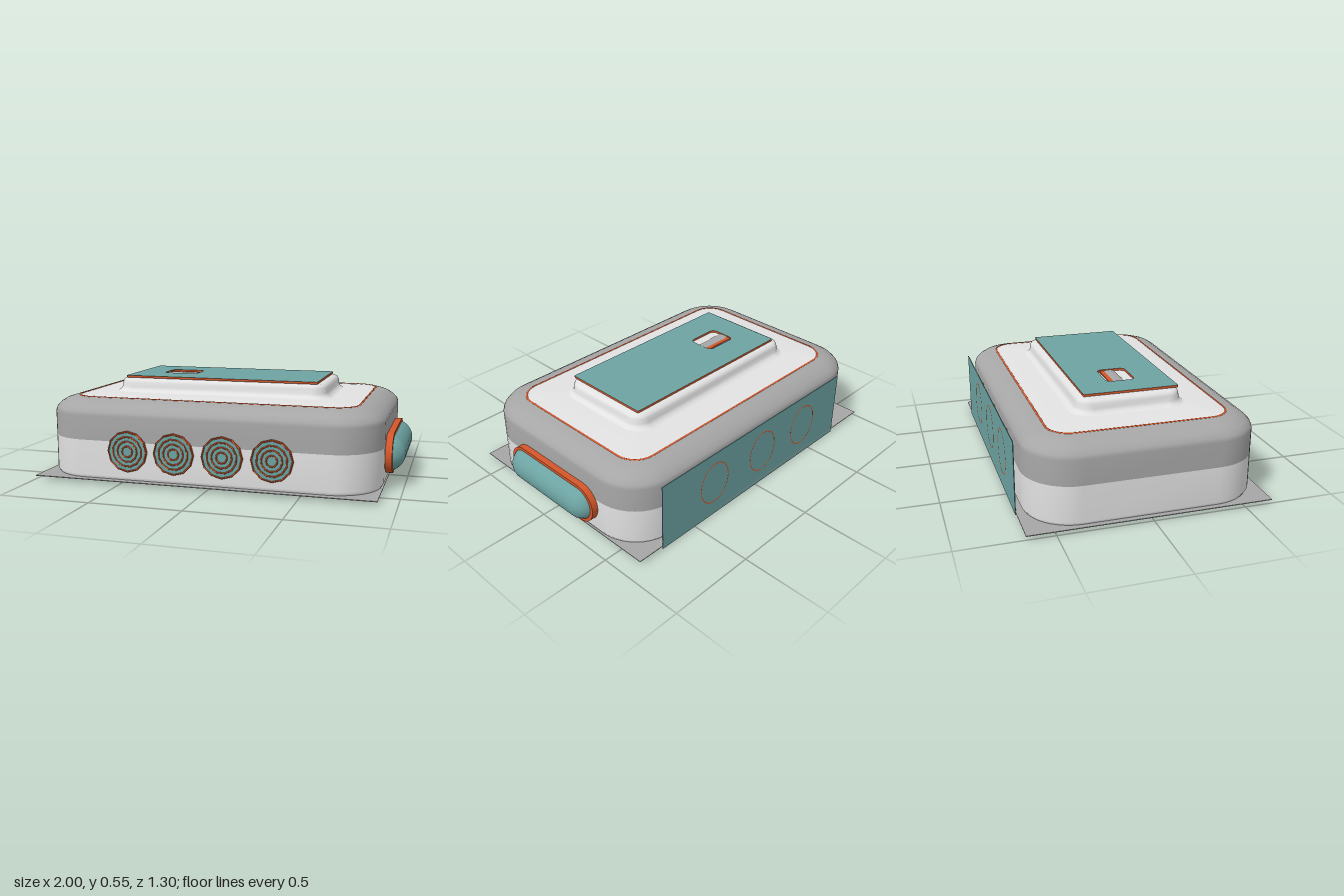
import * as THREE from 'three';

const mat = (name, color, side = THREE.FrontSide) => {
  const m = new THREE.MeshStandardMaterial({ color, side });
  m.name = name;
  return m;
};

// Rounded-rectangle rings stacked along a profile of [inset, height]
function loft(hx, hz, radius, profile, cap) {
  const pos = [], idx = [], seg = 10, n = 4 * (seg + 1);
  for (const [inset, y] of profile) {
    const r = Math.max(radius - inset, 0.02);
    for (let q = 0; q < 4; q++) {
      const sx = q === 0 || q === 3 ? 1 : -1, sz = q < 2 ? 1 : -1;
      for (let i = 0; i <= seg; i++) {
        const a = (q + i / seg) * Math.PI / 2;
        pos.push(sx * (hx - inset - r) + r * Math.cos(a), y, sz * (hz - inset - r) + r * Math.sin(a));
      }
    }
  }
  for (let j = 0; j < profile.length - 1; j++) {
    for (let k = 0; k < n; k++) {
      const a = j * n + k, b = j * n + (k + 1) % n;
      idx.push(a, a + n, b, b, a + n, b + n);
    }
  }
  if (cap) {
    const last = (profile.length - 1) * n, c = pos.length / 3;
    pos.push(0, profile[profile.length - 1][1], 0);
    for (let k = 0; k < n; k++) idx.push(last + k, c, last + (k + 1) % n);
  }
  const g = new THREE.BufferGeometry();
  g.setAttribute('position', new THREE.Float32BufferAttribute(pos, 3));
  g.setIndex(idx);
  g.computeVertexNormals();
  return g;
}

// Rounded rectangle outline centred on (cx, cy)
function roundRect(T, cx, cy, hx, hy, r) {
  const s = new T();
  s.absarc(cx + hx - r, cy + hy - r, r, 0, Math.PI / 2);
  s.absarc(cx - hx + r, cy + hy - r, r, Math.PI / 2, Math.PI);
  s.absarc(cx - hx + r, cy - hy + r, r, Math.PI, Math.PI * 1.5);
  s.absarc(cx + hx - r, cy - hy + r, r, Math.PI * 1.5, Math.PI * 2);
  s.closePath();
  return s;
}

export function createModel() {
  const model = new THREE.Group();
  const light = mat('lightGrey', 0xe2e2e2);
  const grey = mat('midGrey', 0xa6a6a6);
  const teal = mat('teal', 0x6ca3a2);
  const orange = mat('orange', 0xd4562a);

  const add = (name, geo, material, x = 0, y = 0, z = 0) => {
    const m = new THREE.Mesh(geo, material);
    m.name = name;
    m.position.set(x, y, z);
    model.add(m);
    return m;
  };

  // Case: light lower wall, grey shoulder, light lid
  const HX = 0.94, HZ = 0.618, R = 0.26, CX = -0.04;
  add('lowerWall', loft(HX, HZ, R, [[0.012, 0.02], [0, 0.04], [0, 0.235]]), light, CX);
  add('shoulder', loft(HX, HZ, R, [[0, 0.235], [0, 0.37], [0.008, 0.392], [0.03, 0.415],
    [0.065, 0.436], [0.1, 0.447], [0.137, 0.453]]), grey, CX);
  add('lid', loft(HX, HZ, R, [[0.137, 0.453], [0.2, 0.458], [0.3, 0.463], [0.4, 0.465]], true), light, CX);

  // Fine seam around the lid
  add('lidSeam', loft(HX, HZ, R, [[0.133, 0.4525], [0.136, 0.456], [0.141, 0.456], [0.144, 0.4525]]), orange, CX);

  // Raised screen bed with a flared foot
  add('screenBed', loft(0.655, 0.335, 0.13, [[0, 0.46], [0.025, 0.464], [0.042, 0.475], [0.05, 0.49],
    [0.052, 0.515], [0.06, 0.53], [0.075, 0.538], [0.1, 0.541], [0.12, 0.541]], true), light, -0.045, 0, -0.005);

  // Screen plate with a small window
  const screen = roundRect(THREE.Shape, -0.042, -0.011, 0.56, 0.26, 0.008);
  screen.holes.push(roundRect(THREE.Path, -0.34, -0.007, 0.1, 0.08, 0.03));
  const screenGeo = new THREE.ExtrudeGeometry(screen, { depth: 0.012, bevelEnabled: false, curveSegments: 6 });
  screenGeo.rotateX(-Math.PI / 2);
  add('screen', screenGeo, [teal, orange], 0, 0.542, 0);

  // Roller and strip seen through the window
  const roller = new THREE.CylinderGeometry(0.032, 0.032, 0.2, 16);
  roller.rotateZ(Math.PI / 2);
  roller.scale(1, 0.3, 1);
  add('windowRoller', roller, grey, -0.34, 0.541, 0);
  add('windowStrip', new THREE.BoxGeometry(0.2, 0.006, 0.024), orange, -0.34, 0.544, -0.042);

  // Base sheet and rear panel
  add('baseSheet', new THREE.BoxGeometry(1.9, 0.004, 1.3), grey, -0.05, 0.02, 0);
  add('rearPanel', new THREE.BoxGeometry(1.48, 0.4, 0.004), teal, 0, 0.2, -0.648);

  // Four front dials: faceted rim, teal face, concentric ridges
  const disc = (r, depth, sides) => new THREE.CylinderGeometry(r, r, depth, sides).rotateX(Math.PI / 2);
  [-0.45, -0.185, 0.085, 0.355].forEach((x) => {
    add('dialRim', disc(0.114, 0.03, 12), orange, x, 0.185, 0.611);
    add('dialFace', disc(0.108, 0.006, 12), teal, x, 0.185, 0.626);
    [0.11, 0.083, 0.057, 0.03].forEach((r, i) => {
      const ridge = add('dialRidge', new THREE.TorusGeometry(r, 0.0045, 6, 12), orange, x, 0.185, 0.629);
      ridge.rotation.z = i * 0.2;
    });
  });

  // Three rear ports behind the panel, outlined on its outer face
  [-0.41, -0.045, 0.35].forEach((x) => {
    add('rearPort', disc(0.11, 0.05, 16), orange, x, 0.21, -0.623).scale.y = 1.18;
    add('portOutline', new THREE.TorusGeometry(0.107, 0.004, 6, 16), orange, x, 0.21, -0.649).scale.set(1, 1.18, 0.5);
  });

  // Side handle: orange stadium plate with a teal capsule
  const plate = new THREE.ExtrudeGeometry(roundRect(THREE.Shape, 0, 0, 0.337, 0.11, 0.11),
    { depth: 0.045, bevelEnabled: false, curveSegments: 12 });
  plate.rotateY(Math.PI / 2);
  add('handlePlate', plate, orange, 0.891, 0.18, -0.005);
  const capsule = new THREE.CapsuleGeometry(0.1, 0.45, 10, 24);
  capsule.rotateX(Math.PI / 2);
  add('handleCapsule', capsule, teal, 0.9, 0.18, -0.005);

  return model;
}
